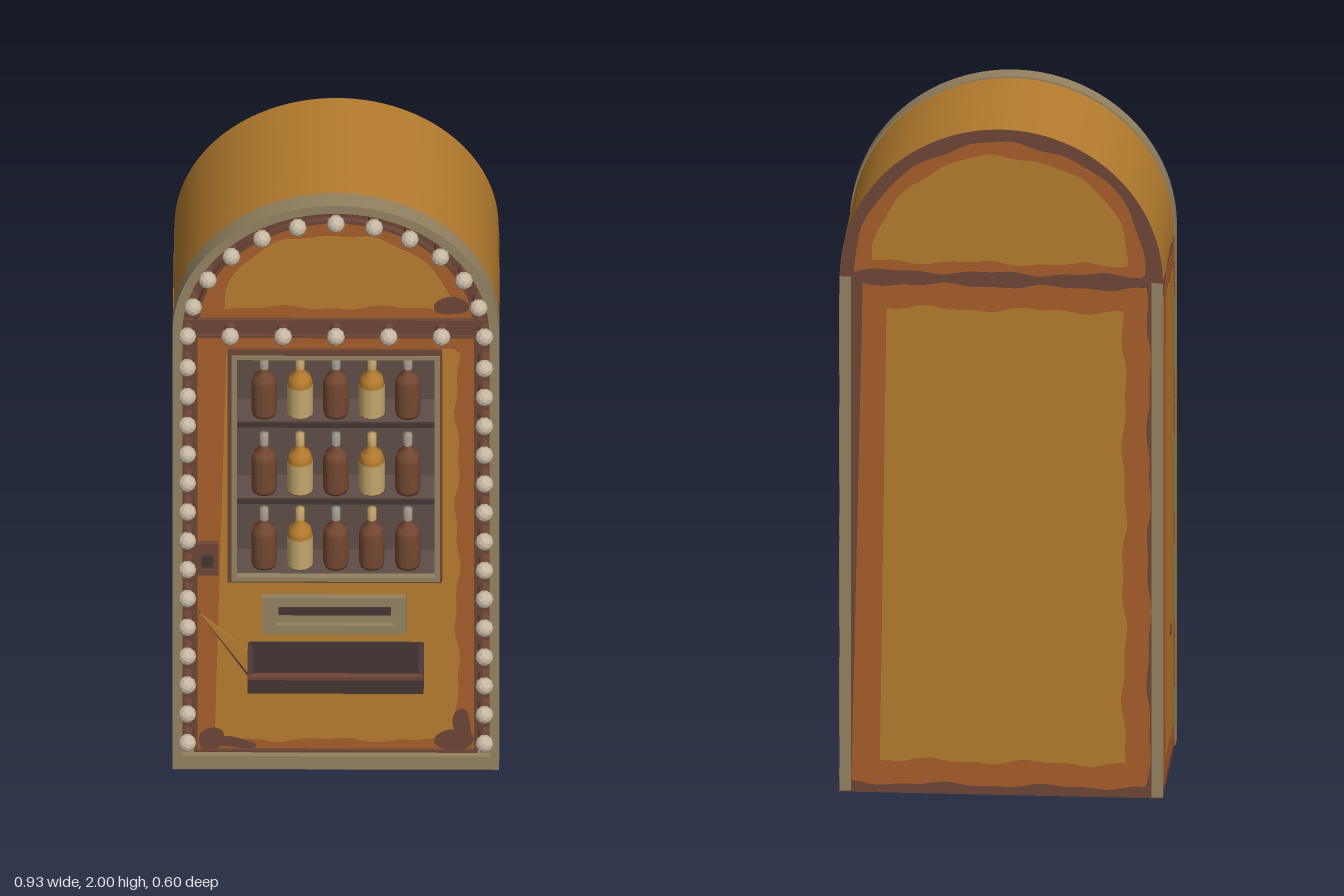
import * as THREE from 'three';
import { toCreasedNormals } from 'three/addons/utils/BufferGeometryUtils.js';

const mat = (name, color) => Object.assign(new THREE.MeshStandardMaterial({ color }), { name });

export function createModel() {
  const M = {
    amber: mat('amber paint', 0xb57c2e), orange: mat('orange worn paint', 0xa65e2a),
    rust: mat('brown rust', 0x6d4636), beige: mat('beige trim', 0x938260),
    inside: mat('grey brown interior', 0x5e4e48), bulb: mat('pale bulb', 0xc6b8a2),
    bottle: mat('brown glass', 0x744831), cream: mat('cream label', 0xc4a66c),
    dark: mat('dark metal', 0x453633), cap: mat('silver cap', 0xa39a90),
  };
  const W = 0.46, SPRING = 1.545;
  const root = new THREE.Group();
  root.name = 'vendingCabinet';

  const add = (name, geo, material, x = 0, y = 0, z = 0, parent = root) => {
    const m = new THREE.Mesh(geo, material);
    m.name = name;
    m.position.set(x, y, z);
    parent.add(m);
    return m;
  };
  const box = (name, w, h, d, material, x, y, z, parent) =>
    add(name, new THREE.BoxGeometry(w, h, d), material, x, y, z, parent);
  // flat outline given depth, starting at z
  const slab = (name, shape, z, depth, material, parent) =>
    add(name, toCreasedNormals(new THREE.ExtrudeGeometry(shape, { depth, bevelEnabled: false, curveSegments: 40 }), 0.5),
      material, 0, 0, z, parent);

  const arch = (w, y0, spring, ry) => {
    const s = new THREE.Shape();
    s.moveTo(-w, y0);
    s.lineTo(w, y0);
    if (spring > y0) s.lineTo(w, spring);
    s.absellipse(0, spring, w, ry, 0, Math.PI, false);
    s.closePath();
    return s;
  };
  const rect = (x0, y0, x1, y1) => new THREE.Shape([[x0, y0], [x1, y0], [x1, y1], [x0, y1]].map(p => new THREE.Vector2(...p)));
  const cut = (shape, ...holes) => { shape.holes.push(...holes); return shape; };
  // worn paint edge: resample an outline and ripple it
  const worn = (shape, a = 0.007, seed = 1) => new THREE.Shape(shape.getSpacedPoints(110).slice(0, -1).map(p => new THREE.Vector2(
    p.x + a * (Math.sin(p.y * 17 + seed) + 0.6 * Math.sin(p.y * 41 + seed * 2)),
    p.y + a * (Math.sin(p.x * 21 + seed) + 0.6 * Math.sin(p.x * 47 + seed * 3)))));
  const blob = (x, y, rx, ry, seed) => {
    const s = new THREE.Shape();
    s.absellipse(x, y, rx, ry, 0, Math.PI * 2);
    return worn(s, 0.006, seed);
  };

  // cabinet: solid back, front section with the window opening
  const win = () => rect(-0.285, 0.67, 0.285, 1.45);
  slab('cabinetBack', arch(W, 0.004, SPRING, 0.45), -0.298, 0.368, M.amber);
  slab('cabinetFront', cut(arch(W, 0.004, SPRING, 0.45), win()), 0.07, 0.12, [M.rust, M.amber]);
  box('underside', 0.92, 0.004, 0.515, M.rust, 0, 0.002, -0.04);

  // pale rim around the front
  slab('frontRim', cut(arch(0.464, 0.004, SPRING, 0.455), arch(0.436, 0.05, SPRING, 0.427)), 0.16, 0.061, M.beige);
  slab('innerRim', cut(arch(0.403, 0.054, SPRING, 0.392), arch(0.393, 0.062, SPRING, 0.382)), 0.19, 0.018, M.rust);

  // front door paint
  slab('doorEdge', cut(rect(-0.393, 0.062, 0.393, 1.53), win()), 0.19, 0.009, M.orange);
  slab('doorPaint', cut(worn(rect(-0.345, 0.095, 0.345, 1.47), 0.006, 2), rect(-0.305, 0.66, 0.305, 1.455)), 0.199, 0.003, M.amber);
  [[-0.355, 0.1, 0.036, 0.04, 1], [0.34, 0.1, 0.055, 0.037, 4], [-0.29, 0.085, 0.07, 0.018, 3], [0.365, 0.15, 0.025, 0.06, 2]]
    .forEach(([x, y, rx, ry, s]) => slab('doorRust', blob(x, y, rx, ry, s), 0.2, 0.004, M.rust));

  // divider and arched top panel
  box('divider', 0.86, 0.052, 0.012, M.rust, 0, 1.555, 0.196);
  for (const y of [1.527, 1.583]) box('dividerLip', 0.79, 0.007, 0.022, M.rust, 0, y, 0.2);
  slab('topPanelEdge', arch(0.385, 1.587, 1.587, 0.335), 0.19, 0.009, M.orange);
  slab('topPanelPaint', worn(arch(0.325, 1.625, 1.63, 0.25), 0.006, 5), 0.199, 0.003, M.amber);
  slab('topPanelRust', blob(0.325, 1.63, 0.05, 0.03, 6), 0.2, 0.004, M.rust);

  // bulbs down both sides, across the divider and over the arch
  const bulbGeo = toCreasedNormals(new THREE.IcosahedronGeometry(0.026, 1), 0.1);
  const socketGeo = new THREE.CylinderGeometry(0.015, 0.018, 0.04, 8).rotateX(Math.PI / 2);
  const bulb = (x, y) => {
    add('bulb', bulbGeo, M.bulb, x, y, 0.246);
    add('bulbSocket', socketGeo, M.rust, x, y, 0.21);
  };
  for (const s of [-1, 1]) for (let i = 0; i < 14; i++) bulb(s * 0.422, 0.115 + i * 0.1022);
  for (const x of [-0.422, -0.3, -0.15, 0, 0.15, 0.3, 0.422]) bulb(x, 1.555);
  for (let i = 1; i < 12; i++) {
    const a = i * Math.PI / 12;
    bulb(0.42 * Math.cos(a), 1.555 + 0.4 * Math.sin(a));
  }

  // display window
  slab('windowFrame', cut(rect(-0.308, 0.655, 0.302, 1.478), win()), 0.19, 0.018, M.rust);
  slab('windowLip', cut(rect(-0.296, 0.661, 0.296, 1.459), rect(-0.28, 0.675, 0.28, 1.445)), 0.19, 0.021, M.beige);
  box('windowBack', 0.57, 0.78, 0.004, M.inside, 0, 1.06, 0.072);
  for (const s of [-1, 1]) {
    box('windowSide', 0.004, 0.78, 0.12, M.inside, s * 0.283, 1.06, 0.13);
    box('windowEnd', 0.57, 0.004, 0.12, M.inside, 0, 1.06 + s * 0.388, 0.13);
  }
  for (const y of [1.203, 0.932]) {
    box('shelf', 0.566, 0.01, 0.12, M.inside, 0, y, 0.132);
    box('shelfEdge', 0.566, 0.016, 0.008, M.dark, 0, y, 0.192);
  }

  // bottles: three shelves of five
  const lathe = pts => new THREE.LatheGeometry(pts.map(p => new THREE.Vector2(...p)), 12);
  const bottleGeo = lathe([[0, 0], [0.034, 0], [0.036, 0.01], [0.036, 0.11], [0.03, 0.13], [0.014, 0.146], [0.012, 0.165]]);
  const capGeo = lathe([[0.013, 0.16], [0.013, 0.198], [0, 0.2]]);
  const labelGeo = new THREE.CylinderGeometry(0.0375, 0.0375, 0.1, 12, 1, true);
  const labelled = [[1], [1, 3], [1, 3]];
  [0.674, 0.938, 1.209].forEach((y, row) => {
    for (let i = 0; i < 5; i++) {
      const b = new THREE.Group();
      b.name = 'bottle';
      b.position.set((i - 2) * 0.102, y, 0.143);
      const pale = labelled[row].includes(i);
      add('bottleGlass', bottleGeo, pale ? M.amber : M.bottle, 0, 0, 0, b);
      add('bottleCap', capGeo, i % 2 ? M.cream : M.cap, 0, 0, 0, b);
      if (pale) add('bottleLabel', labelGeo, M.cream, 0, 0.055, 0, b);
      root.add(b);
    }
  });

  // coin plate
  slab('coinPlate', cut(rect(-0.21, 0.48, 0.2, 0.61), rect(-0.17, 0.512, 0.165, 0.582)), 0.198, 0.022, M.beige);
  box('coinRecess', 0.34, 0.075, 0.004, M.beige, -0.003, 0.547, 0.203);
  box('coinSlot', 0.32, 0.028, 0.004, M.dark, -0.003, 0.553, 0.205);

  // delivery tray: dark opening, front wall and sloping ends
  box('trayOpening', 0.49, 0.115, 0.006, M.dark, 0, 0.385, 0.203);
  box('trayFront', 0.5, 0.05, 0.014, M.dark, 0, 0.355, 0.292);
  box('trayRail', 0.5, 0.012, 0.018, M.rust, 0, 0.384, 0.291);
  const trayFloor = add('trayFloor', new THREE.PlaneGeometry(0.5, 0.1), M.dark, 0, 0.331, 0.25);
  trayFloor.rotation.x = Math.PI / 2;
  const end = new THREE.Shape([[-0.2, 0.33], [-0.2, 0.44], [-0.222, 0.44], [-0.296, 0.385], [-0.296, 0.33]].map(p => new THREE.Vector2(...p)));
  for (const x of [-0.25, 0.236]) {
    const m = slab('trayEnd', end, 0, 0.014, M.dark);
    m.rotation.y = Math.PI / 2;
    m.position.x = x;
  }
  const flap = new THREE.Shape([[-0.385, 0.545], [-0.25, 0.41], [-0.25, 0.335]].map(p => new THREE.Vector2(...p)));
  slab('trayBrace', flap, 0.203, 0.006, M.amber);
  slab('trayBraceEdge', new THREE.Shape([[-0.388, 0.55], [-0.25, 0.335], [-0.25, 0.325]].map(p => new THREE.Vector2(...p))), 0.203, 0.007, M.dark);

  // lock on the model's right
  box('lockPlate', 0.065, 0.11, 0.02, M.rust, -0.366, 0.74, 0.206);
  box('lockKnob', 0.034, 0.04, 0.014, M.dark, -0.364, 0.74, 0.218);

  // painted side panels
  for (const s of [-1, 1]) {
    const side = new THREE.Group();
    side.name = s > 0 ? 'leftSide' : 'rightSide';
    side.rotation.y = s * Math.PI / 2;
    side.position.x = s * W;
    const span = (z0, y0, z1, y1) => rect(Math.min(-s * z0, -s * z1), y0, Math.max(-s * z0, -s * z1), y1);
    slab('sideRust', span(-0.297, 0.005, 0.16, 0.06), 0, 0.001, M.rust, side);
    slab('sideTopRust', worn(span(-0.293, 1.5, 0.155, 1.545), 0.005, 2), 0, 0.001, M.rust, side);
    slab('sideEdge', worn(span(-0.29, 0.03, 0.158, 1.53), 0.004, 3), 0, 0.002, M.orange, side);
    slab('sidePaint', worn(span(-0.22, 0.095, 0.1, 1.465), 0.006, 4), 0, 0.003, M.amber, side);
    slab('sideSpot', blob(s * 0.02, 0.41, 0.022, 0.02, 3), 0, 0.004, M.rust, side);
    root.add(side);
  }

  // painted back panel
  const back = new THREE.Group();
  back.name = 'backPanel';
  back.rotation.y = Math.PI;
  back.position.z = -0.298;
  slab('backRust', arch(W, 0.004, SPRING, 0.45), 0, 0.001, M.rust, back);
  for (const x of [-0.46, 0.428]) slab('backCorner', rect(x, 0.004, x + 0.032, SPRING), 0, 0.003, M.beige, back);
  slab('backEdge', worn(rect(-0.42, 0.03, 0.42, 1.525), 0.005, 5), 0, 0.002, M.orange, back);
  slab('backPaint', worn(rect(-0.35, 0.1, 0.35, 1.455), 0.006, 6), 0, 0.003, M.amber, back);
  slab('backTopEdge', worn(arch(0.415, 1.565, 1.57, 0.385), 0.005, 2), 0, 0.002, M.orange, back);
  slab('backTopPaint', worn(arch(0.365, 1.595, 1.6, 0.315), 0.005, 3), 0, 0.003, M.amber, back);
  root.add(back);

  return root;
}
